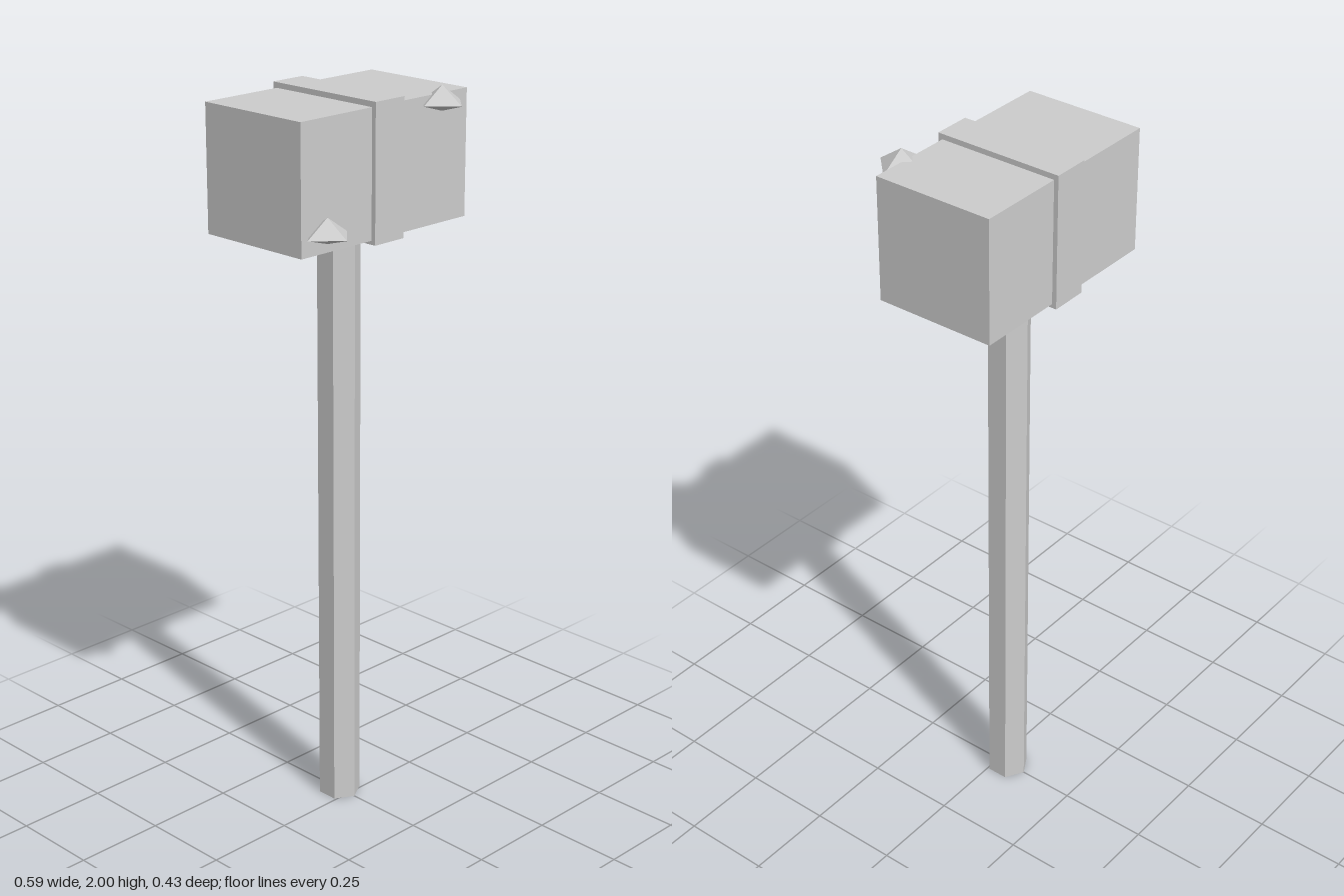
import * as THREE from 'three';

export function createModel() {
  const model = new THREE.Group();
  model.name = 'hammer';
  const stone = new THREE.MeshStandardMaterial({ color: 0xcccccc, flatShading: true });
  stone.name = 'light grey';

  const add = (name, geometry, x, y, z) => {
    const mesh = new THREE.Mesh(geometry, stone);
    mesh.name = name;
    mesh.position.set(x, y, z);
    model.add(mesh);
    return mesh;
  };

  // Six-sided handle, set slightly back, with a corner facing forward
  add('handle', new THREE.CylinderGeometry(0.058, 0.058, 1.64, 6), 0, 0.82, -0.035);

  // Block head and the raised band around its middle
  add('head', new THREE.BoxGeometry(0.587, 0.335, 0.337), 0, 1.808, -0.037);
  add('band', new THREE.BoxGeometry(0.102, 0.36, 0.362), 0, 1.81, -0.037);

  // Four-sided studs: tall point above, shallow point below the widest ring
  const studProfile = [[0, -0.02], [0.067, 0], [0, 0.046]].map(([r, y]) => new THREE.Vector2(r, y));
  const stud = new THREE.LatheGeometry(studProfile, 4);
  add('rightStud', stud, -0.22, 1.688, 0.147);
  add('leftStud', stud, 0.184, 1.954, 0.147);

  return model;
}
